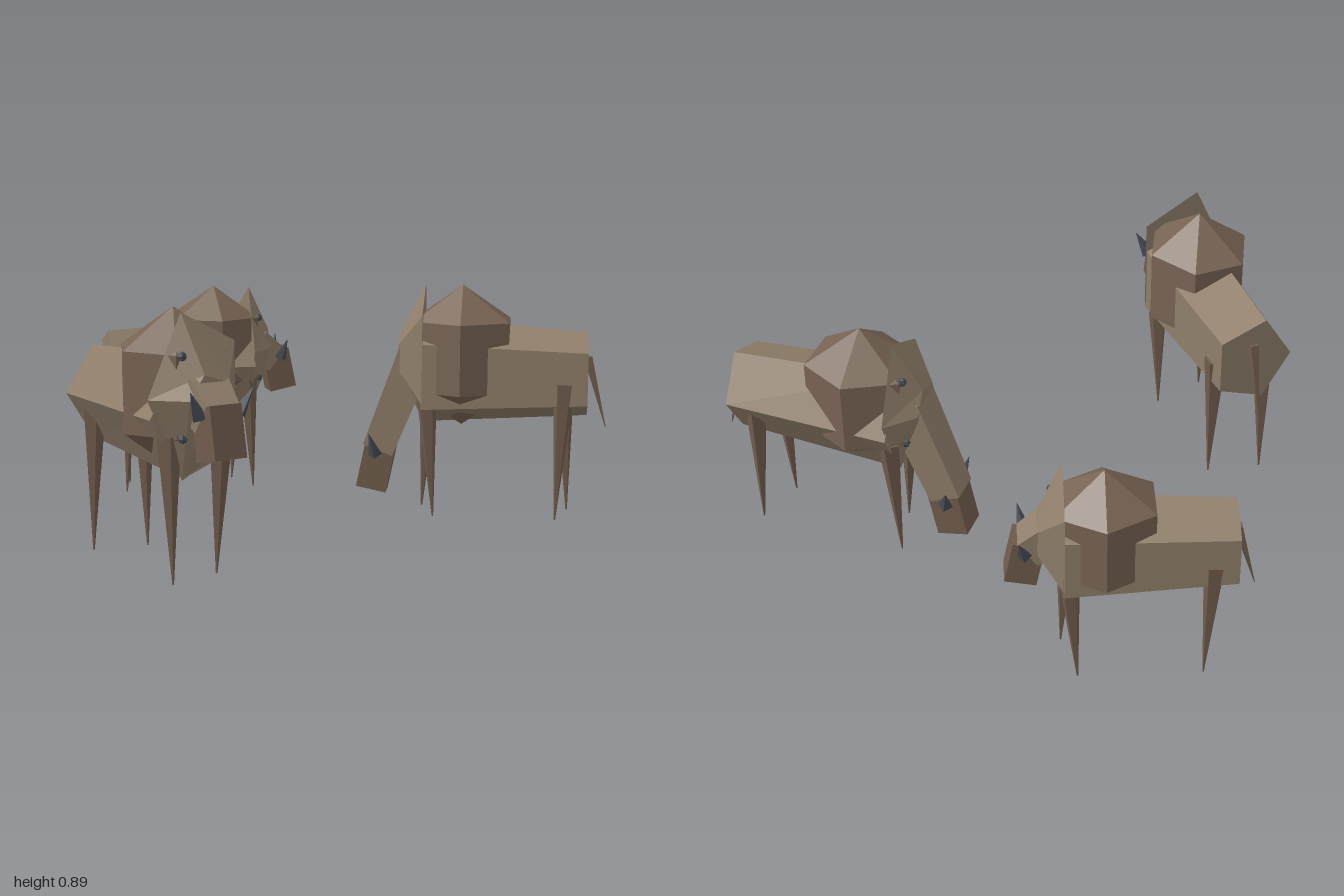
import * as THREE from 'three';

const flat = (name, color) => {
  const m = new THREE.MeshStandardMaterial({ color, flatShading: true });
  m.name = name;
  return m;
};

// Loft of five-sided rings [x, centreY, radiusY, radiusZ] along x, capped at both ends
function loft(rings, n = 5) {
  const pos = [], idx = [];
  for (const [x, cy, ry, rz] of rings)
    for (let k = 0; k < n; k++) {
      const t = (k / n) * Math.PI * 2;
      pos.push(x, cy + ry * Math.sin(t), rz * Math.cos(t));
    }
  for (let i = 0; i < rings.length - 1; i++)
    for (let k = 0; k < n; k++) {
      const a = i * n + k, b = i * n + (k + 1) % n;
      idx.push(a, a + n, b + n, a, b + n, b);
    }
  const last = (rings.length - 1) * n;
  for (let k = 1; k < n - 1; k++) {
    idx.push(0, k, k + 1);
    idx.push(last, last + k + 1, last + k);
  }
  const g = new THREE.BufferGeometry();
  g.setAttribute('position', new THREE.Float32BufferAttribute(pos, 3));
  g.setIndex(idx);
  g.computeVertexNormals();
  return g;
}

// Straight tapered prism from one point to another
function taper(from, to, r1, r2, sides) {
  const a = new THREE.Vector3(...from), b = new THREE.Vector3(...to);
  const dir = b.clone().sub(a);
  const g = new THREE.CylinderGeometry(r1, r2, dir.length(), sides);
  if (sides === 4) g.rotateY(Math.PI / 4);
  g.applyQuaternion(new THREE.Quaternion().setFromUnitVectors(
    new THREE.Vector3(0, -1, 0), dir.normalize()));
  const c = a.add(b).multiplyScalar(0.5);
  return g.translate(c.x, c.y, c.z);
}

// One animal facing +x, with its right side towards +z and the hump above the origin
function bison(mats, grazing) {
  const g = new THREE.Group();
  const add = (name, geo, mat) => {
    const m = new THREE.Mesh(geo, mat);
    m.name = name;
    g.add(m);
  };

  add('body', loft([[-0.478, 0.55, 0.17, 0.15], [0.15, 0.55, 0.212, 0.175]]), mats.hide);
  add('mane', loft([[0.145, 0.615, 0.287, 0.18], [0.24, 0.615, 0.085, 0.08]]), mats.hide);

  const hump = new THREE.SphereGeometry(1, 6, 3).rotateY(Math.PI / 6);
  add('hump', hump.scale(0.24, 0.27, 0.215).translate(0, 0.62, 0), mats.hump);

  // Head: lowered to the grass or carried level
  const dx = grazing ? 0.04 : 0, dy = grazing ? -0.335 : 0;
  add('neck', grazing
    ? taper([0.17, 0.63, 0], [0.318, 0.25, 0], 0.1, 0.085, 4)
    : taper([0.18, 0.63, 0], [0.275, 0.56, 0], 0.1, 0.085, 4), mats.hide);
  add('muzzle', taper([0.268 + dx, 0.6 + dy, 0], [0.303 + dx, 0.43 + dy, 0], 0.083, 0.083, 4), mats.leg);
  for (const s of [-1, 1]) {
    add('horn', taper([0.285 + dx, 0.57 + dy, s * 0.072], [0.307 + dx, 0.66 + dy, s * 0.118],
      0.027, 0, 4), mats.horn);
    add('eye', new THREE.SphereGeometry(0.016, 5, 4)
      .translate(0.187, 0.62 + s * 0.133, 0.075), mats.horn);
  }

  // Legs: [foot x, z, top x, top y]
  for (const [x, z, tx, ty] of [
    [0.155, 0.097, 0.13, 0.49], [0.1, -0.1, 0.13, 0.49],
    [-0.41, 0.088, -0.39, 0.53], [-0.365, -0.1, -0.39, 0.53],
  ]) add('leg', taper([tx, ty, z], [x, 0.005, z], 0.042, 0.003, 5), mats.leg);

  add('tail', taper([-0.478, 0.62, 0], [-0.55, 0.35, 0], 0.022, 0.002, 4), mats.leg);
  return g;
}

export function createModel() {
  const mats = {
    hide: flat('hide', 0x8f7e6a),
    hump: flat('woolly hump', 0x776353),
    leg: flat('dark legs', 0x715c4d),
    horn: flat('horn', 0x484c56),
  };
  const herd = new THREE.Group();
  herd.name = 'herd';
  // [name, x, z, heading in degrees from +x towards +z, scale, grazing]
  for (const [name, x, z, deg, scale, grazing] of [
    ['frontBison', -0.05, 0.655, 31, 1, false],
    ['grazingBison', 0.47, -0.605, 161.5, 0.965, true],
    ['smallBison', -0.598, -0.655, -40, 0.895, false],
  ]) {
    const b = bison(mats, grazing);
    b.name = name;
    b.position.set(x, 0, z);
    b.rotation.y = -THREE.MathUtils.degToRad(deg);
    b.scale.setScalar(scale);
    herd.add(b);
  }
  return herd;
}
